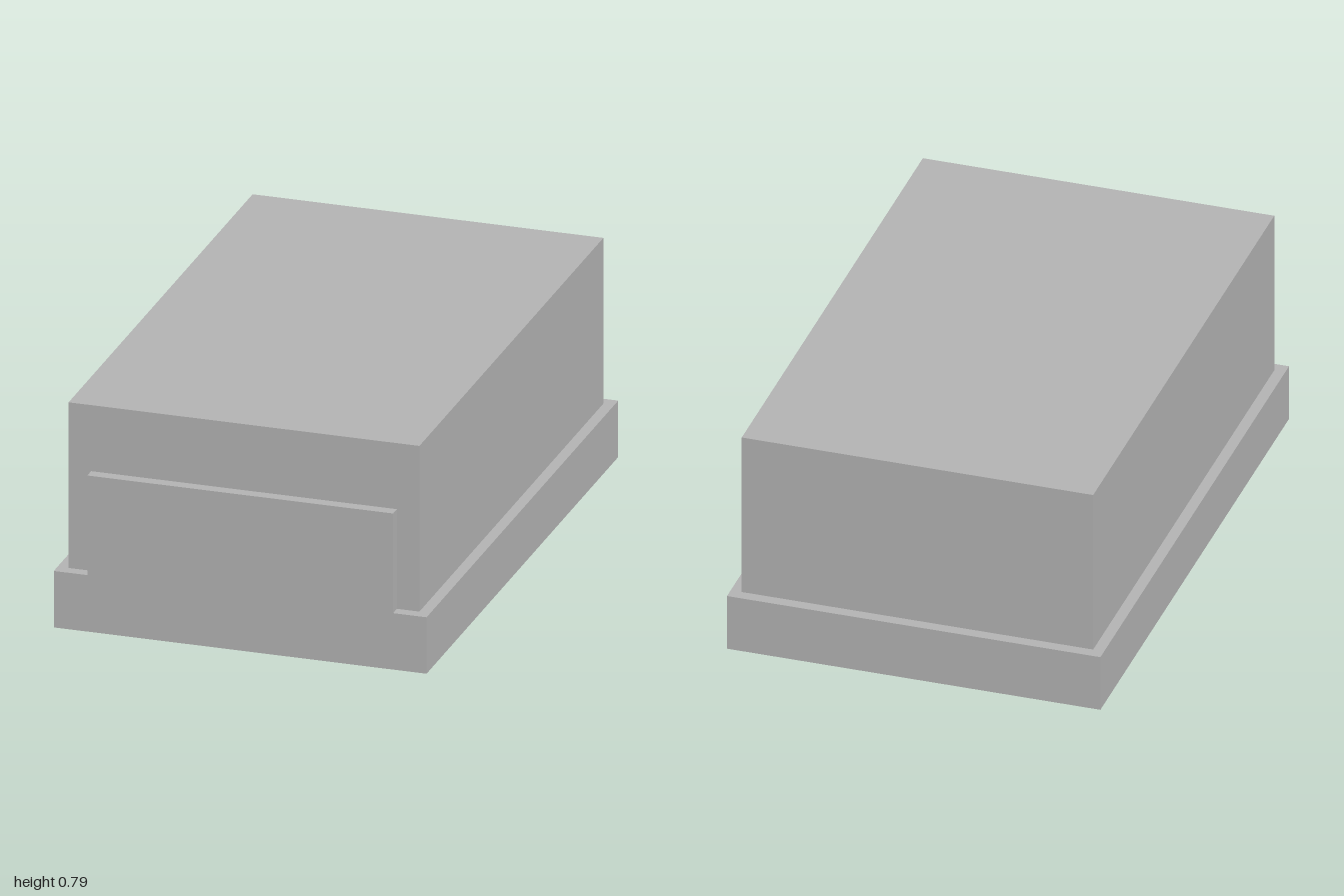
import * as THREE from 'three';

const BASE_TOP = 0.2;
const BODY_FRONT = 0.96;

export function createModel() {
  const model = new THREE.Group();
  model.name = 'steppedBlock';

  const grey = new THREE.MeshStandardMaterial({ color: 0xb3b3b3 });
  grey.name = 'plain grey';

  // Box given by its half width, height range and depth range
  const addBox = (name, halfWidth, y0, y1, z0, z1) => {
    const geometry = new THREE.BoxGeometry(halfWidth * 2, y1 - y0, z1 - z0);
    const mesh = new THREE.Mesh(geometry, grey);
    mesh.name = name;
    mesh.position.set(0, (y0 + y1) / 2, (z0 + z1) / 2);
    model.add(mesh);
  };

  // Wide plinth
  addBox('base', 0.645, 0, BASE_TOP, -1, 1);
  // Main block, set in from the plinth on all sides
  addBox('body', 0.607, BASE_TOP, 0.787, -BODY_FRONT, BODY_FRONT);
  // Raised panel, flush with the front of the plinth
  addBox('frontPanel', 0.529, BASE_TOP, 0.553, BODY_FRONT, 1);

  return model;
}
